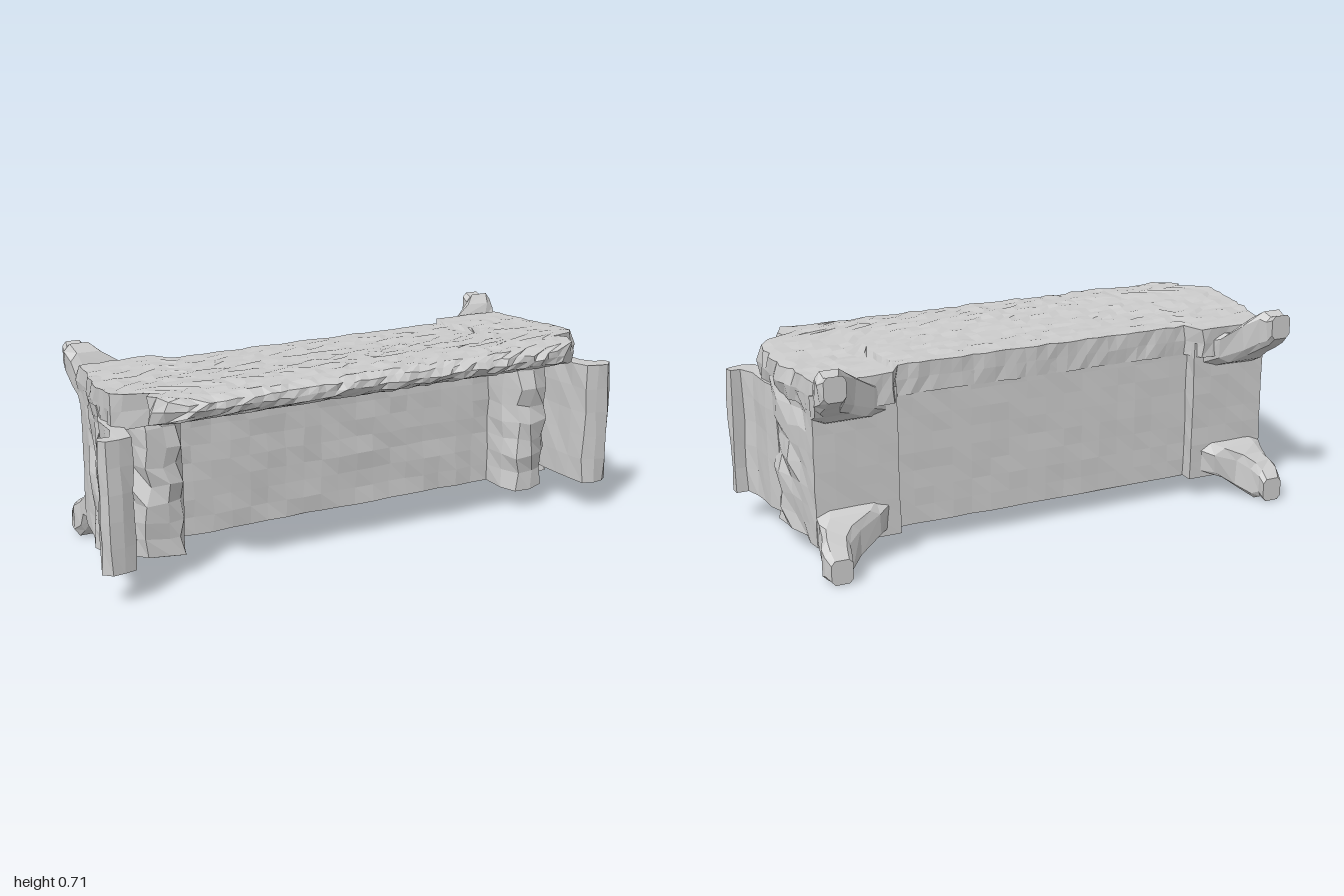
import * as THREE from 'three';

const material = new THREE.MeshStandardMaterial({ color: 0xcccccc, flatShading: true });

// Repeatable value in -1..1 from a position, so shared corners move together
function noise(x, y, z, k) {
  const r = v => Math.round(v * 1000);
  const s = Math.sin(r(x) * 12.9898 + r(y) * 78.233 + r(z) * 37.719 + k * 19.19) * 43758.5453;
  return (s - Math.floor(s)) * 2 - 1;
}

// Chip the surface; amount(x, y, z) gives the depth of the roughness
function roughen(geometry, amount) {
  const p = geometry.attributes.position;
  for (let i = 0; i < p.count; i++) {
    const x = p.getX(i), y = p.getY(i), z = p.getZ(i), a = amount(x, y, z);
    p.setXYZ(i, x + a * noise(x, y, z, 1), y + a * 0.5 * noise(x, y, z, 2), z + a * noise(x, y, z, 3));
  }
  geometry.computeVertexNormals();
  return geometry;
}

// Remove the triangles buried inside the model; hidden(centre, normal) picks them
function openUp(geometry, hidden) {
  const p = geometry.attributes.position, kept = [];
  const tri = new THREE.Triangle(), centre = new THREE.Vector3(), normal = new THREE.Vector3();
  for (let i = 0; i < p.count; i += 3) {
    tri.setFromAttributeAndIndices(p, i, i + 1, i + 2);
    if (hidden(tri.getMidpoint(centre), tri.getNormal(normal))) continue;
    for (const c of [tri.a, tri.b, tri.c]) kept.push(c.x, c.y, c.z);
  }
  const g = new THREE.BufferGeometry();
  g.setAttribute('position', new THREE.Float32BufferAttribute(kept, 3));
  g.computeVertexNormals();
  return g;
}

// Upright prism from a plan outline of [x, z] points, with its walls subdivided
function prism(outline, y0, y1, steps, amount) {
  const pts = [];
  outline.forEach(([x, z], i) => {
    const [nx, nz] = outline[(i + 1) % outline.length];
    const n = Math.max(1, Math.round(Math.hypot(nx - x, nz - z) / 0.07));
    for (let k = 0; k < n; k++) {
      pts.push(new THREE.Vector2(x + (nx - x) * k / n, -(z + (nz - z) * k / n)));
    }
  });
  const g = new THREE.ExtrudeGeometry(new THREE.Shape(pts), { depth: y1 - y0, steps, bevelEnabled: false });
  g.rotateX(-Math.PI / 2).translate(0, y0, 0);
  return roughen(g, amount);
}

// Piecewise linear lookup in a list of [key, value]
function lookup(table, t) {
  if (t <= table[0][0]) return table[0][1];
  for (let i = 1; i < table.length; i++) {
    const [a, va] = table[i - 1], [b, vb] = table[i];
    if (t <= b) return va + (vb - va) * (t - a) / (b - a);
  }
  return table[table.length - 1][1];
}

// Overhanging top slab: a box grid shaped by its width, top and underside along z
function slabGeometry() {
  const width = [[-0.27, 0.86], [-0.15, 0.87], [0, 0.905], [0.2, 0.905], [0.22, 0.87], [0.25, 0.79], [0.28, 0.815],
    [0.33, 0.80], [0.37, 0.75], [0.39, 0.70]];
  const top = [[-0.27, 0.655], [0, 0.662], [0.23, 0.678], [0.36, 0.675], [0.385, 0.658]];
  const under = [[-0.27, 0.55], [0.2, 0.555], [0.25, 0.572], [0.35, 0.60], [0.385, 0.618]];
  const g = new THREE.BoxGeometry(2, 1, 1, 44, 2, 20);
  const p = g.attributes.position;
  for (let i = 0; i < p.count; i++) {
    const u = p.getX(i), v = p.getY(i) + 0.5, w = p.getZ(i) + 0.5;
    const back = Math.abs(u) > 0.64 ? -0.262 : -0.194;
    const z = back + (0.382 - back) * w;
    const bulge = Math.sin(v * Math.PI) * 0.008;
    const y = lookup(under, z) * (1 - v) + lookup(top, z) * v;
    p.setXYZ(i, u * (lookup(width, z) + bulge), y, z + (w === 1 ? bulge : 0));
  }
  roughen(g, (x, y, z) => (z < -0.15 ? 0.004 : 0.008));
  return openUp(g.toNonIndexed(), (c, n) => n.y < -0.5 && c.y < 0.58 && c.z > -0.18 && c.z < 0.02 && Math.abs(c.x) < 0.85);
}

// Horn at a rear corner, flaring inward at its root, lofted through rectangles [z, x0, x1, y0, y1]
function hornGeometry(side, lower) {
  const sections = [
    [-0.235, 0.61, 0.865, 0.505, 0.63], [-0.27, 0.655, 0.865, 0.525, 0.635], [-0.298, 0.735, 0.87, 0.55, 0.685],
    [-0.33, 0.78, 0.88, 0.575, 0.715], [-0.36, 0.79, 0.88, 0.60, 0.70], [-0.39, 0.795, 0.87, 0.625, 0.71]];
  const corner = t => THREE.MathUtils.clamp(t * 1.7, -1, 1);
  const pos = [], index = [];
  for (const [z, x0, x1, y0, y1] of sections) {
    // Rectangular ring with cut corners
    for (let k = 0; k < 8; k++) {
      const a = (k + 0.5) * Math.PI / 4;
      const x = (x0 + x1) / 2 + corner(Math.cos(a)) * (x1 - x0) / 2;
      const y = (y0 + y1) / 2 + corner(Math.sin(a)) * (y1 - y0) / 2;
      pos.push(x * side, lower ? 0.716 - y : y, z);
    }
  }
  const flip = (side < 0) !== lower;
  const tri = (a, b, c) => index.push(...(flip ? [a, b, c] : [a, c, b]));
  for (let s = 0; s < sections.length - 1; s++) {
    for (let k = 0; k < 8; k++) {
      const a = s * 8 + k, b = s * 8 + (k + 1) % 8;
      tri(a, b, a + 8);
      tri(b, b + 8, a + 8);
    }
  }
  const end = (sections.length - 1) * 8;
  for (let k = 1; k < 7; k++) tri(end, end + k, end + k + 1);
  const g = new THREE.BufferGeometry();
  g.setAttribute('position', new THREE.Float32BufferAttribute(pos, 3));
  g.setIndex(index);
  return roughen(g.toNonIndexed(), (x, y, z) => (z < -0.38 || y < 0.01 || y > 0.71 ? 0 : 0.006));
}

export function createModel() {
  const model = new THREE.Group();
  const add = (name, geometry) => {
    const mesh = new THREE.Mesh(geometry, material);
    mesh.name = name;
    model.add(mesh);
  };

  // Body: deep front panel, rounded front pillars, grooves, swelling ends and recessed back
  const half = [[0.64, 0.04], [0.645, 0.13], [0.68, 0.185], [0.73, 0.2], [0.79, 0.18], [0.825, 0.13], [0.835, 0.06],
    [0.87, 0.05], [0.905, 0.06], [0.905, 0], [0.875, -0.13], [0.865, -0.24], [0.57, -0.24], [0.57, -0.19]];
  const outline = [...half, ...half.map(([x, z]) => [-x, z]).reverse()];
  const body = prism(outline, 0.08, 0.6, 8, (x, y, z) => {
    if (z < -0.18) return 0.002;
    return Math.abs(x) > 0.645 ? 0.015 : 0.005;
  });
  add('body', openUp(body, (c, n) => n.y > 0.8 && c.y > 0.58));

  add('topSlab', slabGeometry());

  const wing = [[0.865, 0.035], [0.875, 0.24], [0.885, 0.315], [0.93, 0.328], [0.975, 0.328], [0.997, 0.305],
    [0.99, 0.272], [0.95, 0.277], [0.925, 0.22], [0.918, 0.1], [0.9, 0.035]];
  for (const side of [1, -1]) {
    const name = side > 0 ? 'left' : 'right';
    // Side wing with a lip curling outward at the front
    add(name + 'Wing', prism(wing.map(([x, z]) => [x * side, z]), 0.112, 0.565, 5, () => 0.004));
    // Rear corner horns
    add(name + 'UpperHorn', hornGeometry(side, false));
    add(name + 'LowerHorn', hornGeometry(side, true));
  }
  return model;
}
